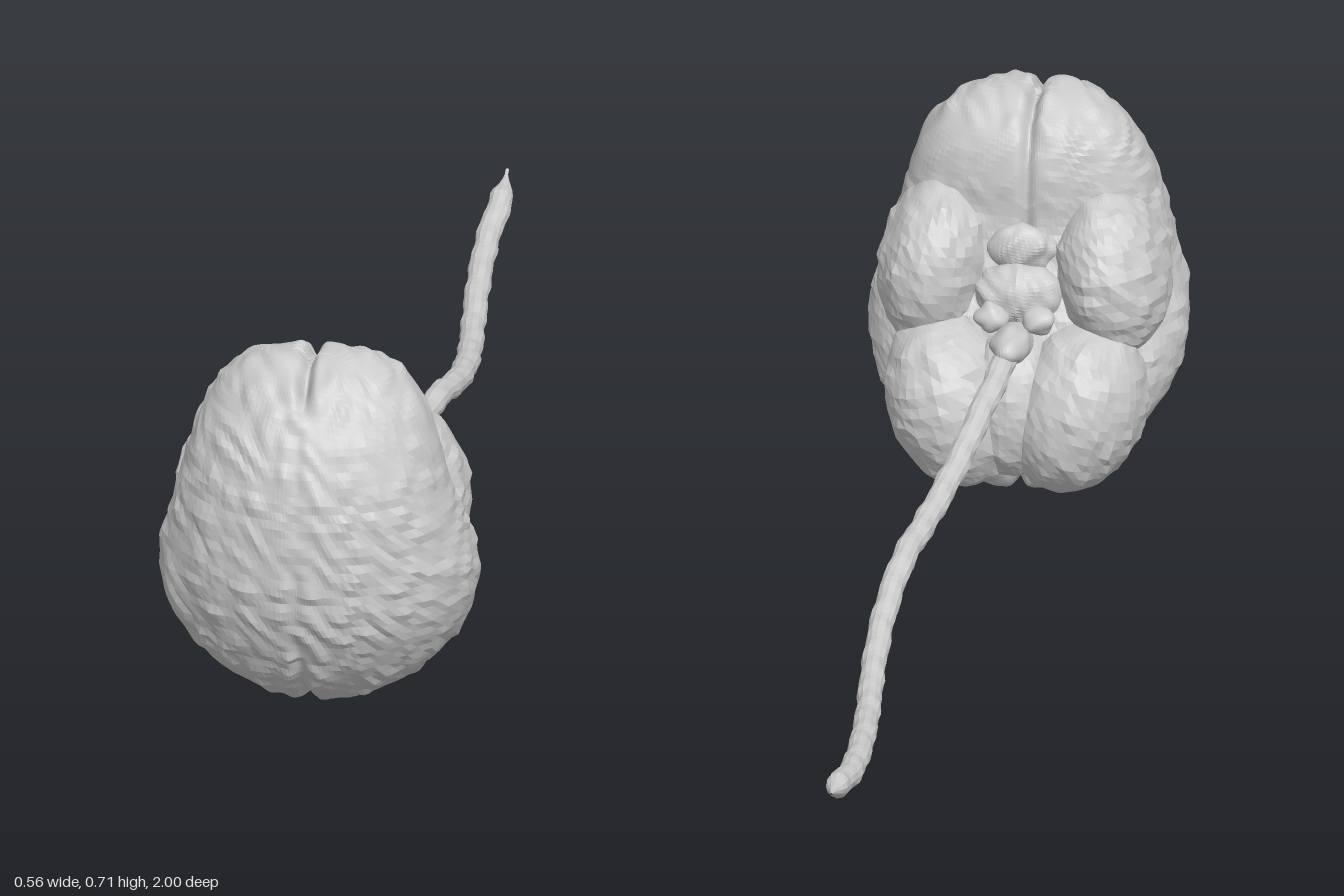
import * as THREE from 'three';

const material = new THREE.MeshStandardMaterial({ color: 0xcccccc, flatShading: true });

// Winding bumps that stand in for the folds of the surface
function folds(x, y, z) {
  const a = Math.sin(61 * x + 2.2 * Math.sin(41 * y + 9 * z) + 1.3);
  const b = Math.sin(67 * y + 2 * Math.sin(53 * x - 21 * z));
  const c = Math.sin(57 * z + 2 * Math.sin(37 * y + 43 * x) + 0.7);
  return (a * b + b * c + c * a) / 2;
}

// Sphere whose points are moved by a rule
function shapedSphere(name, columns, rows, rule) {
  const geometry = new THREE.SphereGeometry(1, columns, rows);
  const pos = geometry.attributes.position;
  const p = new THREE.Vector3();
  for (let i = 0; i < pos.count; i++) {
    p.fromBufferAttribute(pos, i);
    rule(p, Math.floor(i / (columns + 1)) / rows);
    pos.setXYZ(i, p.x, p.y, p.z);
  }
  geometry.computeVertexNormals();
  const mesh = new THREE.Mesh(geometry, material);
  mesh.name = name;
  return mesh;
}

// Ellipsoid lobe with folds
function lobe(name, centre, radii, tilt, bump) {
  const c = new THREE.Vector3(...centre);
  const r = new THREE.Vector3(...radii);
  const turn = new THREE.Euler(...tilt);
  return shapedSphere(name, 40, 28, (p) => {
    const dir = p.clone().applyEuler(turn);
    p.multiply(r).applyEuler(turn).add(c);
    p.addScaledVector(dir, bump * folds(p.x, p.y, p.z));
  });
}

// Cerebrum sections from top to bottom: height, half width, front z, back z
const sections = [
  [0.704, 0, 0.80, 0.80], [0.696, 0.085, 0.84, 0.75], [0.67, 0.138, 0.88, 0.70],
  [0.63, 0.174, 0.92, 0.67], [0.57, 0.205, 0.957, 0.655], [0.49, 0.228, 0.985, 0.65],
  [0.40, 0.252, 0.998, 0.62], [0.31, 0.276, 0.997, 0.575], [0.22, 0.271, 0.977, 0.545],
  [0.14, 0.232, 0.935, 0.53], [0.08, 0.18, 0.875, 0.535], [0.035, 0.118, 0.80, 0.555],
  [0.008, 0.06, 0.72, 0.60], [0, 0, 0.65, 0.65],
];

function cerebrum() {
  const curve = (points) => new THREE.CatmullRomCurve3(points, false, 'catmullrom', 0.5);
  const widths = curve(sections.map(([y, w]) => new THREE.Vector3(y, w, 0)));
  const depths = curve(sections.map(([y, , f, b]) => new THREE.Vector3(y, f, b)));
  const core = new THREE.Vector3(0, 0.35, 0.75);
  const { smoothstep } = THREE.MathUtils;
  return shapedSphere('cerebrum', 120, 76, (p, v) => {
    const [y, w] = widths.getPoint(v).toArray();
    const [, front, back] = depths.getPoint(v).toArray();
    const mid = back + (front - back) * 0.45;
    const ring = v < 1e-6 || v > 1 - 1e-6 ? 0 : 1;
    // Columns crowd toward the midline so the fissure stays narrow
    const angle = Math.atan2(p.z, p.x);
    const warped = angle + 0.33 * Math.sin(2 * angle);
    const cx = Math.cos(warped), cz = Math.sin(warped);
    const reach = cz > 0 ? cz * (front - mid) : -Math.pow(-cz, 0.75) * (mid - back);
    p.set(cx * w * ring, y, mid + ring * reach);
    const out = p.clone().sub(core).normalize();
    p.addScaledVector(out, 0.0045 * folds(p.x, p.y, p.z));
    // Long fissure, deeper at the crown, the lower end and the underside
    const ends = smoothstep(y, 0.63, 0.69) + 0.5 * (1 - smoothstep(y, 0.02, 0.27));
    const depth = cz < -0.2 ? 0.026 : 0.003 + 0.027 * ends;
    p.addScaledVector(out, -depth * Math.exp(-(((p.x + 0.008) / 0.012) ** 2)));
  });
}

// Spinal cord: a knotted tube that tapers to a thread
function spinalCord() {
  const path = new THREE.CatmullRomCurve3([
    [0, 0.325, 0.57], [0.01, 0.302, 0.46], [0.025, 0.28, 0.36], [0.05, 0.24, 0.2],
    [0.077, 0.215, 0.04], [0.095, 0.208, -0.08], [0.108, 0.172, -0.22],
    [0.105, 0.14, -0.38], [0.093, 0.13, -0.52], [0.081, 0.143, -0.68],
    [0.078, 0.16, -0.82], [0.087, 0.185, -0.93], [0.086, 0.204, -1.0],
  ].map((a) => new THREE.Vector3(...a)));
  const rings = 120, sides = 12;
  const geometry = new THREE.TubeGeometry(path, rings, 1, sides);
  const pos = geometry.attributes.position;
  const p = new THREE.Vector3();
  for (let i = 0; i < pos.count; i++) {
    const t = Math.floor(i / (sides + 1)) / rings;
    const centre = path.getPointAt(t);
    const taper = t > 0.95 ? Math.max(0.003, 0.023 * (1 - (t - 0.95) / 0.045)) : 0.0215;
    p.fromBufferAttribute(pos, i).sub(centre);
    const knots = 1 + 0.06 * Math.sin(t * 95 + 2 * p.x) + 0.05 * Math.sin(t * 171 + 3 * p.y);
    p.multiplyScalar(taper * knots).add(centre);
    pos.setXYZ(i, p.x, p.y, p.z);
  }
  geometry.computeVertexNormals();
  const mesh = new THREE.Mesh(geometry, material);
  mesh.name = 'spinalCord';
  return mesh;
}

export function createModel() {
  const model = new THREE.Group();
  model.name = 'brain';
  model.add(cerebrum(), spinalCord());

  // Paired lobes on the underside
  for (const [side, s] of [['left', 1], ['right', -1]]) {
    model.add(
      lobe(`${side}TemporalLobe`, [s * 0.155, 0.395, 0.7], [0.1, 0.155, 0.155],
        [0.15, 0, s * 0.15], 0.005),
      lobe(`${side}Cerebellum`, [s * 0.108, 0.185, 0.585], [0.118, 0.16, 0.14],
        [0.1, 0, -s * 0.3], 0.004),
      lobe(`${side}OlfactoryRidge`, [s * 0.035, 0.56, 0.68], [0.02, 0.075, 0.022],
        [0.1, 0, 0], 0.003),
      lobe(`${side}StemNodule`, [s * 0.04, 0.35, 0.575], [0.03, 0.028, 0.03],
        [0, 0, 0], 0.007),
    );
  }

  // Middle parts between the lobes
  model.add(
    lobe('cerebellumMiddle', [0, 0.19, 0.585], [0.09, 0.14, 0.115], [0, 0, 0], 0.004),
    lobe('brainStem', [0, 0.315, 0.55], [0.036, 0.034, 0.085], [0.2, 0, 0], 0.004),
    lobe('pons', [0, 0.375, 0.62], [0.08, 0.06, 0.05], [0, 0, 0], 0.008),
    lobe('opticJunction', [0, 0.45, 0.645], [0.06, 0.05, 0.03], [0, 0, 0], 0.007),
  );
  return model;
}
